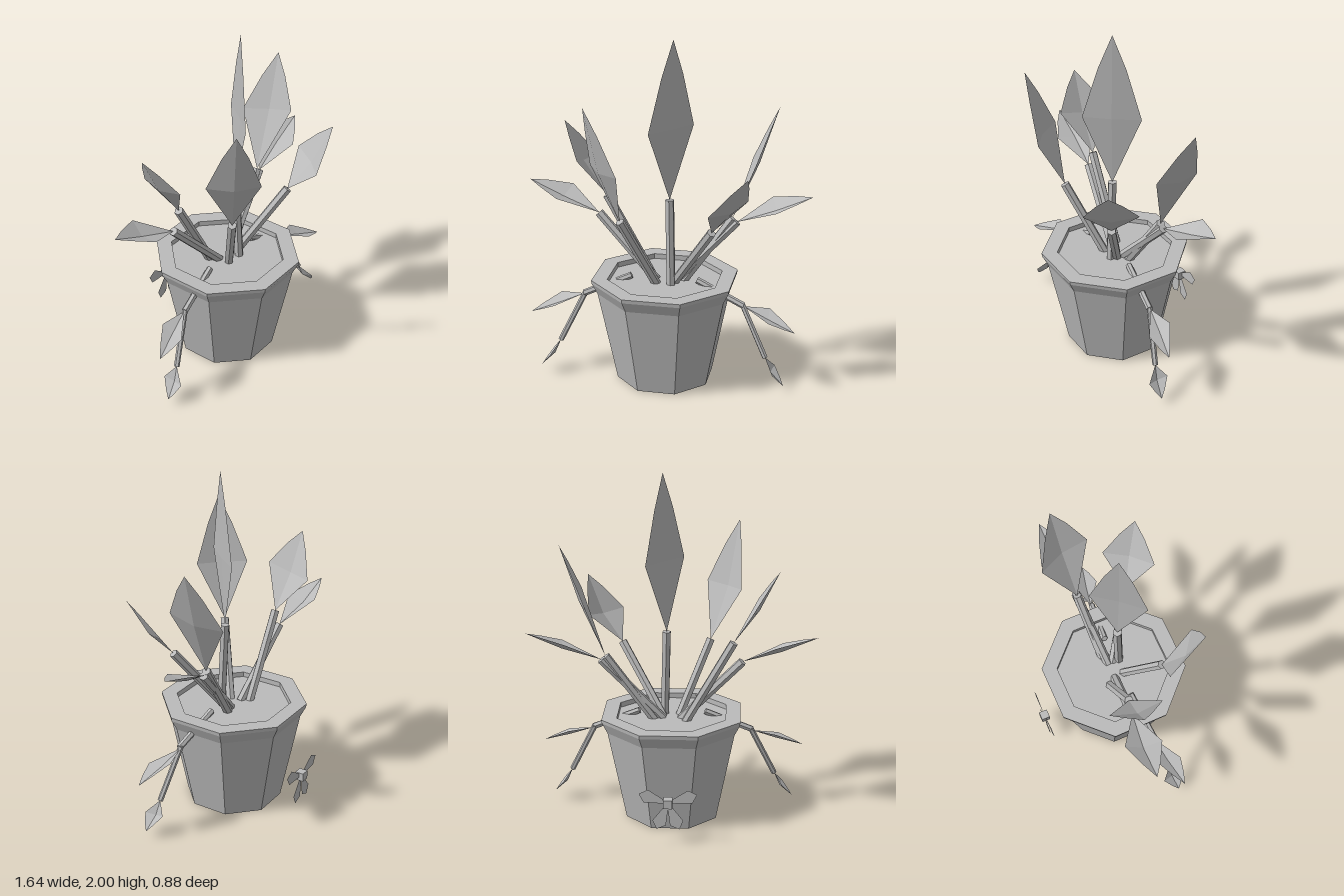
import * as THREE from 'three';

const grey = new THREE.MeshStandardMaterial({ color: 0xbbbbbb, flatShading: true, side: THREE.DoubleSide });
grey.name = 'plain grey';

const V = (p) => new THREE.Vector3(...p);
const mirror = ([x, y, z]) => [-x, y, z];

function part(name, geometry, parent) {
  const mesh = new THREE.Mesh(geometry, grey);
  mesh.name = name;
  parent.add(mesh);
  return mesh;
}

// Six-sided rod between two points
function stem(name, from, to, radius, parent) {
  const a = V(from), b = V(to), d = b.clone().sub(a);
  const mesh = part(name, new THREE.CylinderGeometry(radius, radius, d.length(), 6), parent);
  mesh.position.copy(a).add(b).multiplyScalar(0.5);
  mesh.quaternion.setFromUnitVectors(new THREE.Vector3(0, 1, 0), d.normalize());
}

// Pointed leaf folded along its midrib: base, tip and the two widest points
function leaf(name, base, tip, sideA, sideB, fold, parent) {
  const b = V(base), t = V(tip), w1 = V(sideA), w2 = V(sideB);
  const down = t.clone().sub(b).cross(w2.clone().sub(w1)).normalize();
  if (down.y > 0) down.negate();
  const rib = w1.clone().add(w2).multiplyScalar(0.5).addScaledVector(down, fold);
  const rib2 = rib.clone().lerp(t, 0.6);
  const shoulder = (w) => {
    const s = w.clone().lerp(t, 0.6);
    return s.addScaledVector(w.clone().sub(rib), 0.07);
  };
  const points = [];
  for (const w of [w1, w2]) {
    const s = shoulder(w);
    const tris = [b, w, rib, rib, w, s, rib, s, rib2, rib2, s, t];
    if (w === w2) tris.reverse();
    tris.forEach((p) => points.push(p.x, p.y, p.z));
  }
  const g = new THREE.BufferGeometry();
  g.setAttribute('position', new THREE.Float32BufferAttribute(points, 3));
  g.computeVertexNormals();
  part(name, g, parent);
}

export function createModel() {
  const model = new THREE.Group();
  model.name = 'pottedPlant';

  // Octagonal pot with a flared rim, closed by the soil; widths are across flats
  const pot = new THREE.Group();
  pot.name = 'pot';
  pot.position.z = 0.045;
  model.add(pot);
  const k = 1 / Math.cos(Math.PI / 8);
  const lathe = (profile) => new THREE.LatheGeometry(
    profile.map(([r, y]) => new THREE.Vector2(r * k, y)), 8, Math.PI / 8).toNonIndexed();
  part('potBody', lathe([[0, 0], [0.26, 0], [0.362, 0.535], [0.392, 0.598], [0.395, 0.62], [0.31, 0.62], [0.31, 0.59]]), pot);
  part('soil', lathe([[0.31, 0.59], [0, 0.59]]), pot);

  // Upright stems with their leaves: stem foot, stem end, tip, two widest points, fold
  const shoots = [
    [[0.045, 0.58, 0.1], [0.033, 1.09, 0.08], [0.055, 2.0, 0.09], [-0.06, 1.5, 0.215], [0.145, 1.5, -0.04], 0.008],
    [[-0.04, 0.58, 0.09], [-0.215, 1.0, 0.245], [-0.375, 1.68, 0.39], [-0.39, 1.31, 0.2], [-0.19, 1.31, 0.42], 0.03],
    [[0.05, 0.58, 0.06], [0.3, 0.975, 0.25], [0.515, 1.34, 0.4], [0.31, 1.13, 0.435], [0.49, 1.15, 0.19], 0.03],
    [[-0.08, 0.58, -0.015], [-0.35, 1.06, -0.02], [-0.6, 1.48, -0.05], [-0.44, 1.25, -0.18], [-0.49, 1.29, 0.11], 0.03],
    [[0.1, 0.58, 0.015], [0.375, 0.97, -0.02], [0.62, 1.62, -0.06], [0.46, 1.28, -0.19], [0.52, 1.34, 0.11], 0.03],
  ];
  const spread = [[0.05, 0.58, 0.03], [0.4, 0.95, -0.02], [0.82, 1.11, -0.065], [0.585, 1.07, -0.15], [0.63, 1.04, 0.055], 0.035];
  const flip = (s) => s.map((p) => (Array.isArray(p) ? mirror(p) : p));
  shoots.push(spread, flip(spread));
  for (const [foot, end, tip, a, b, fold] of shoots) {
    const shoot = new THREE.Group();
    shoot.name = 'shoot';
    model.add(shoot);
    stem('stem', foot, end, 0.026, shoot);
    leaf('leaf', end, tip, a, b, fold, shoot);
  }

  // Trailing stems over each side of the rim, with two small leaves
  for (const m of [(p) => p, mirror]) {
    const trail = new THREE.Group();
    trail.name = 'trailingShoot';
    model.add(trail);
    stem('trailingStemUpper', m([0.19, 0.615, 0.07]), m([0.465, 0.495, 0.105]), 0.019, trail);
    stem('trailingStemLower', m([0.455, 0.505, 0.1]), m([0.6, 0.205, 0.15]), 0.016, trail);
    leaf('trailingLeaf', m([0.465, 0.49, 0.1]), m([0.765, 0.38, 0.17]), m([0.61, 0.475, 0.065]), m([0.62, 0.44, 0.205]), 0.025, trail);
    leaf('hangingLeaf', m([0.6, 0.205, 0.15]), m([0.71, 0.05, 0.175]), m([0.65, 0.14, 0.1]), m([0.65, 0.13, 0.22]), 0.02, trail);
  }

  // Small flat flower behind the pot: a cube with four thin petals
  const flower = new THREE.Group();
  flower.name = 'flower';
  flower.position.set(0, 0.25, -0.418);
  model.add(flower);
  part('flowerCentre', new THREE.BoxGeometry(0.05, 0.05, 0.05), flower);
  const outline = new THREE.Shape([[0.02, -0.01], [0.13, -0.04], [0.17, 0], [0.13, 0.04], [0.02, 0.01]]
    .map(([x, y]) => new THREE.Vector2(x, y)));
  for (const angle of [18, 162, 248, 292]) {
    part('petal', new THREE.ShapeGeometry(outline), flower).rotation.z = THREE.MathUtils.degToRad(angle);
  }
  return model;
}
